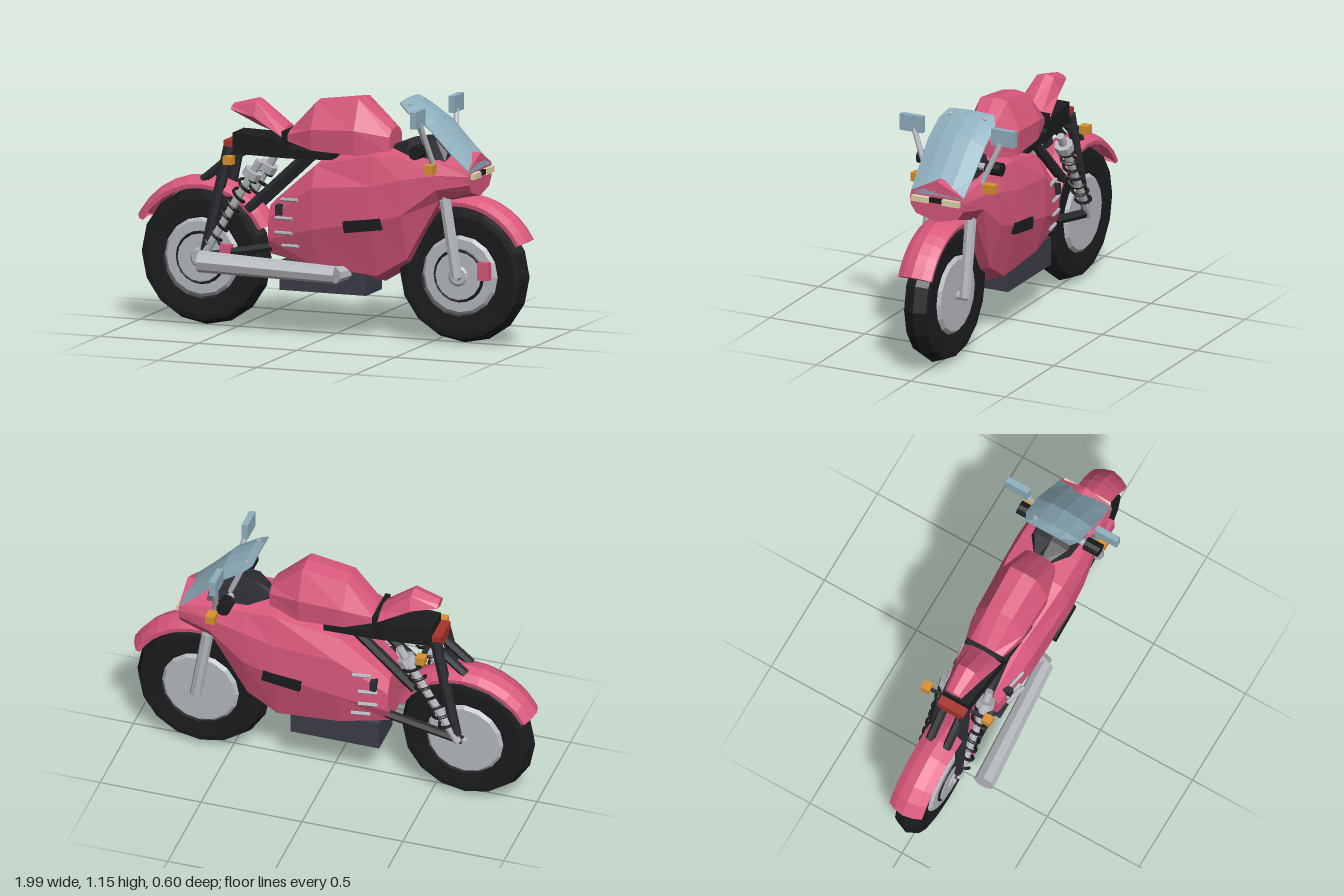
import * as THREE from 'three';

const mat = (color, extra = {}) => new THREE.MeshStandardMaterial({ color, flatShading: true, ...extra });
const PINK = mat(0xd9587c), BLACK = mat(0x1b1c1e), DARK = mat(0x3b3c46), FRAME = mat(0x2a2b30),
  STEEL = mat(0xb4b7bc), GLASS = mat(0x8fb0be, { side: THREE.DoubleSide }), AMBER = mat(0xd9912f),
  RED = mat(0xa8342c), CREAM = mat(0xe0d6ae);
const V = (x, y, z) => new THREE.Vector3(x, y, z);

// Closed skin over a list of rings of 3D points, capped at both ends
function skin(rings) {
  const p = [], n = rings[0].length;
  const tri = (...v) => v.forEach(q => p.push(q.x, q.y, q.z));
  for (let i = 0; i + 1 < rings.length; i++) for (let j = 0; j < n; j++) {
    const k = (j + 1) % n, A = rings[i], B = rings[i + 1];
    tri(A[j], A[k], B[k]); tri(A[j], B[k], B[j]);
  }
  const F = rings[0], L = rings[rings.length - 1];
  // strips across the mirrored ring
  for (let j = 0; j < n / 2; j++) {
    const a = j, b = j + 1, c = n - 1 - j, d = (n - j) % n;
    tri(L[d], L[a], L[b]); tri(L[d], L[b], L[c]);
    tri(F[d], F[b], F[a]); tri(F[d], F[c], F[b]);
  }
  const g = new THREE.BufferGeometry();
  g.setAttribute('position', new THREE.Float32BufferAttribute(p, 3));
  g.computeVertexNormals();
  return g;
}

// Sections are [x, [y, z], ...] down the left half; the right half is mirrored
const loft = secs => skin(secs.map(([x, ...h]) => [
  ...h.map(([y, z]) => V(x, y, z)), ...h.slice().reverse().map(([y, z]) => V(x, y, -z))]));

export function createModel() {
  const root = new THREE.Group();
  const add = (name, geo, m, x = 0, y = 0, z = 0, parent = root) => {
    const o = new THREE.Mesh(geo, m);
    o.name = name; o.position.set(x, y, z); parent.add(o);
    return o;
  };
  const box = (name, m, x, y, z, w, h, d) => add(name, new THREE.BoxGeometry(w, h, d), m, x, y, z);
  const rod = (name, m, a, b, r0, r1 = r0, sides = 8) => {
    const dir = b.clone().sub(a), c = a.clone().add(b).multiplyScalar(0.5);
    const o = add(name, new THREE.CylinderGeometry(r1, r0, dir.length(), sides), m, c.x, c.y, c.z);
    o.quaternion.setFromUnitVectors(V(0, 1, 0), dir.normalize());
    return o;
  };

  // Wheels: tyre, rim disc, brake disc on the left
  const lathe = (pts, n) => new THREE.LatheGeometry(pts.map(q => new THREE.Vector2(...q)), n).rotateX(Math.PI / 2);
  const tyre = lathe([[0.18, -0.05], [0.2, -0.058], [0.28, -0.062], [0.305, -0.058], [0.33, 0],
    [0.305, 0.058], [0.28, 0.062], [0.2, 0.058], [0.18, 0.05]], 16);
  const rim = lathe([[0, -0.07], [0.175, -0.07], [0.195, -0.05], [0.195, 0.05], [0.175, 0.07], [0, 0.07]], 16);
  const brake = lathe([[0, 0.07], [0.115, 0.07], [0.115, 0.082], [0.05, 0.082], [0.04, 0.09], [0, 0.09]], 16);
  const fender = (a0, a1) => {
    const half = [[0.388, 0], [0.375, 0.05], [0.352, 0.088], [0.332, 0.085], [0.352, 0.048], [0.365, 0]];
    const rings = [];
    for (let i = 0; i <= 10; i++) {
      const a = (a0 + (a1 - a0) * i / 10) * Math.PI / 180;
      const at = (r, z) => V(Math.cos(a) * r, Math.sin(a) * r, z);
      rings.push([...half.map(([r, z]) => at(r, z)), ...half.slice().reverse().map(([r, z]) => at(r, -z))]);
    }
    return skin(rings);
  };
  for (const [side, x, a0, a1] of [['rear', -0.66, 151, 27], ['front', 0.65, 120, 28]]) {
    const g = new THREE.Group();
    g.name = side + 'Wheel'; g.position.set(x, 0.333, 0); root.add(g);
    add('tyre', tyre, BLACK, 0, 0, 0, g);
    add('rim', rim, STEEL, 0, 0, 0, g);
    add('brakeDisc', brake, STEEL, 0, 0, 0, g);
    add('discGroove', new THREE.TorusGeometry(0.12, 0.008, 5, 20), BLACK, 0, 0, 0.072, g);
    add('fender', fender(a0, a1), PINK, 0, 0, 0, g);
    box(side + 'Caliper', PINK, x + 0.135, 0.365, 0.088, 0.055, 0.085, 0.04);
  }

  // Fairing
  add('fairing', loft([
    [-0.30, [0.63, 0], [0.61, 0.09], [0.55, 0.12], [0.45, 0.12], [0.38, 0.09], [0.37, 0]],
    [-0.06, [0.84, 0], [0.82, 0.12], [0.72, 0.17], [0.52, 0.17], [0.34, 0.12], [0.31, 0]],
    [0.25, [0.92, 0], [0.89, 0.15], [0.75, 0.185], [0.58, 0.188], [0.31, 0.11], [0.27, 0]],
    [0.40, [0.92, 0], [0.89, 0.15], [0.79, 0.183], [0.62, 0.18], [0.40, 0.11], [0.36, 0]],
    [0.57, [0.92, 0], [0.88, 0.145], [0.82, 0.168], [0.75, 0.165], [0.69, 0.12], [0.68, 0]],
    [0.73, [0.915, 0], [0.85, 0.135], [0.82, 0.142], [0.78, 0.138], [0.74, 0.11], [0.71, 0]],
  ]), PINK);

  // Fuel tank
  add('fuelTank', loft([
    [-0.215, [0.98, 0], [0.97, 0.05], [0.95, 0.085], [0.92, 0.085], [0.92, 0]],
    [-0.08, [1.12, 0], [1.11, 0.065], [0.99, 0.13], [0.89, 0.12], [0.88, 0]],
    [0.14, [1.15, 0], [1.14, 0.07], [1.0, 0.135], [0.88, 0.125], [0.87, 0]],
    [0.30, [1.01, 0], [1.0, 0.05], [0.97, 0.08], [0.89, 0.08], [0.88, 0]],
  ]), PINK);

  // Tail hump, seat and its strap
  add('tailHump', loft([
    [-0.52, [1.07, 0], [1.06, 0.03], [1.045, 0.045], [1.03, 0]],
    [-0.39, [1.105, 0], [1.09, 0.045], [1.02, 0.075], [0.97, 0]],
    [-0.24, [0.985, 0], [0.97, 0.06], [0.94, 0.1], [0.92, 0]],
  ]), PINK);
  box('seatStrap', BLACK, -0.228, 0.93, 0, 0.025, 0.075, 0.2);
  add('seat', loft([
    [-0.50, [0.94, 0], [0.94, 0.07], [0.84, 0.07], [0.84, 0]],
    [-0.27, [0.935, 0], [0.93, 0.095], [0.84, 0.095], [0.84, 0]],
    [-0.20, [0.89, 0], [0.885, 0.1], [0.84, 0.1], [0.84, 0]],
    [0.02, [0.88, 0], [0.88, 0.12], [0.85, 0.12], [0.85, 0]],
  ]), BLACK);
  box('tailLight', RED, -0.525, 0.87, 0, 0.045, 0.06, 0.14);

  // Instrument cowl
  add('instrumentCowl', loft([
    [0.30, [0.93, 0], [0.92, 0.03], [0.88, 0.04], [0.88, 0]],
    [0.40, [0.97, 0], [0.96, 0.09], [0.88, 0.11], [0.88, 0]],
    [0.54, [0.995, 0], [0.98, 0.09], [0.88, 0.12], [0.88, 0]],
    [0.60, [0.93, 0], [0.92, 0.09], [0.88, 0.12], [0.88, 0]],
  ]), FRAME);

  // Windscreen, a thin curved sheet
  const sheet = [[0.37, 1.155, 0.12, 0.007], [0.42, 1.135, 0.148, 0.03], [0.53, 1.07, 0.15, 0.04],
    [0.64, 0.955, 0.145, 0.04], [0.73, 0.865, 0.138, 0.03]];
  add('windscreen', skin(sheet.map(([x, y, w, drop]) => {
    const arc = (s, t) => V(x, y + drop * (0.3 - s * s) - t, w * s);
    const half = [0, 0.5, 1];
    return [...half.map(s => arc(s, 0)), ...half.slice().reverse().map(s => arc(s, 0.008)),
      ...half.map(s => arc(-s, 0.008)), ...half.slice().reverse().map(s => arc(-s, 0))];
  })), GLASS);

  // Engine sump
  box('engineSump', DARK, -0.03, 0.28, 0, 0.44, 0.14, 0.2);

  // Exhaust: silencer and header bend
  rod('silencer', STEEL, V(-0.61, 0.342, 0.22), V(0.06, 0.312, 0.165), 0.052, 0.042, 8);
  rod('exhaustBend', STEEL, V(0.055, 0.312, 0.17), V(0.09, 0.315, 0.07), 0.042, 0.035, 8);

  // Headlights
  box('headlightBridge', BLACK, 0.733, 0.82, 0, 0.025, 0.022, 0.08);
  box('rearSignalBar', FRAME, -0.48, 0.825, 0, 0.015, 0.015, 0.32);
  rod('rearAxle', STEEL, V(-0.66, 0.333, -0.1), V(-0.66, 0.333, 0.1), 0.022);
  rod('frontAxle', STEEL, V(0.65, 0.333, -0.13), V(0.65, 0.333, 0.13), 0.022);

  // Parts on both sides
  for (const s of [1, -1]) {
    const P = (x, y, z) => V(x, y, z * s);
    box('headlight', CREAM, 0.738, 0.818, 0.08 * s, 0.025, 0.028, 0.09);
    rod('forkSlider', STEEL, P(0.655, 0.33, 0.11), P(0.595, 0.70, 0.11), 0.029);
    rod('forkTube', STEEL, P(0.595, 0.70, 0.11), P(0.57, 0.85, 0.11), 0.02);
    rod('grip', BLACK, P(0.485, 0.93, 0.14), P(0.485, 0.93, 0.22), 0.033, 0.033, 10);
    rod('handlebar', STEEL, P(0.485, 0.93, 0.05), P(0.485, 0.93, 0.14), 0.018);
    rod('screenStay', STEEL, P(0.42, 1.12, 0.09), P(0.49, 0.95, 0.09), 0.013);
    rod('screenBolt', STEEL, P(0.403, 1.12, 0.09), P(0.41, 1.142, 0.09), 0.011);
    rod('mirrorStalk', STEEL, P(0.55, 0.86, 0.14), P(0.515, 1.075, 0.23), 0.014);
    box('mirror', GLASS, 0.51, 1.1, 0.242 * s, 0.03, 0.08, 0.12);
    box('frontSignal', AMBER, 0.55, 0.853, 0.19 * s, 0.045, 0.042, 0.058);
    rod('frontSignalStalk', STEEL, P(0.55, 0.853, 0.12), P(0.55, 0.853, 0.17), 0.01);
    box('rearSignal', AMBER, -0.48, 0.825, 0.165 * s, 0.045, 0.04, 0.045);
    box('sidePad', BLACK, 0.205, 0.56, 0.178 * s, 0.19, 0.055, 0.03).rotation.z = 0.14;

    // Rear frame
    rod('rearStrut', FRAME, P(-0.63, 0.37, 0.09), P(-0.52, 0.87, 0.065), 0.025, 0.028, 6);
    rod('tailTube', FRAME, P(-0.66, 0.70, 0.045), P(-0.46, 0.87, 0.045), 0.022, 0.022, 6);
    rod('frameTube', FRAME, P(-0.42, 0.58, 0.075), P(-0.13, 0.85, 0.075), 0.025, 0.025, 6);
    rod('swingArm', FRAME, P(-0.66, 0.34, 0.085), P(-0.24, 0.42, 0.085), 0.022, 0.022, 6);

    // Rear shock with coil spring
    const a = P(-0.64, 0.34, 0.1), b = P(-0.35, 0.82, 0.1), axis = b.clone().sub(a).normalize();
    rod('shockBody', STEEL, a, b, 0.02);
    rod('shockCollar', STEEL, a.clone().lerp(b, 0.83), a.clone().lerp(b, 0.9), 0.045);
    const u = V(0, 0, 1), w = u.clone().cross(axis), coil = [];
    for (let i = 0; i <= 56; i++) {
      const t = i / 56, q = t * Math.PI * 14;
      coil.push(a.clone().lerp(b, 0.14 + 0.7 * t)
        .addScaledVector(u, 0.035 * Math.cos(q)).addScaledVector(w, 0.035 * Math.sin(q)));
    }
    add('shockSpring', new THREE.TubeGeometry(new THREE.CatmullRomCurve3(coil), 112, 0.008, 5), BLACK);

    // Side vent and its fins
    box('sideVent', FRAME, -0.235, 0.60, 0.125 * s, 0.03, 0.05, 0.06);
    for (const [x, y] of [[-0.18, 0.65], [-0.21, 0.56], [-0.21, 0.49], [-0.175, 0.43]])
      rod('ventFin', STEEL, P(x - 0.045, y, 0.14), P(x + 0.045, y + 0.003, 0.158), 0.009, 0.009, 6);
  }
  return root;
}
